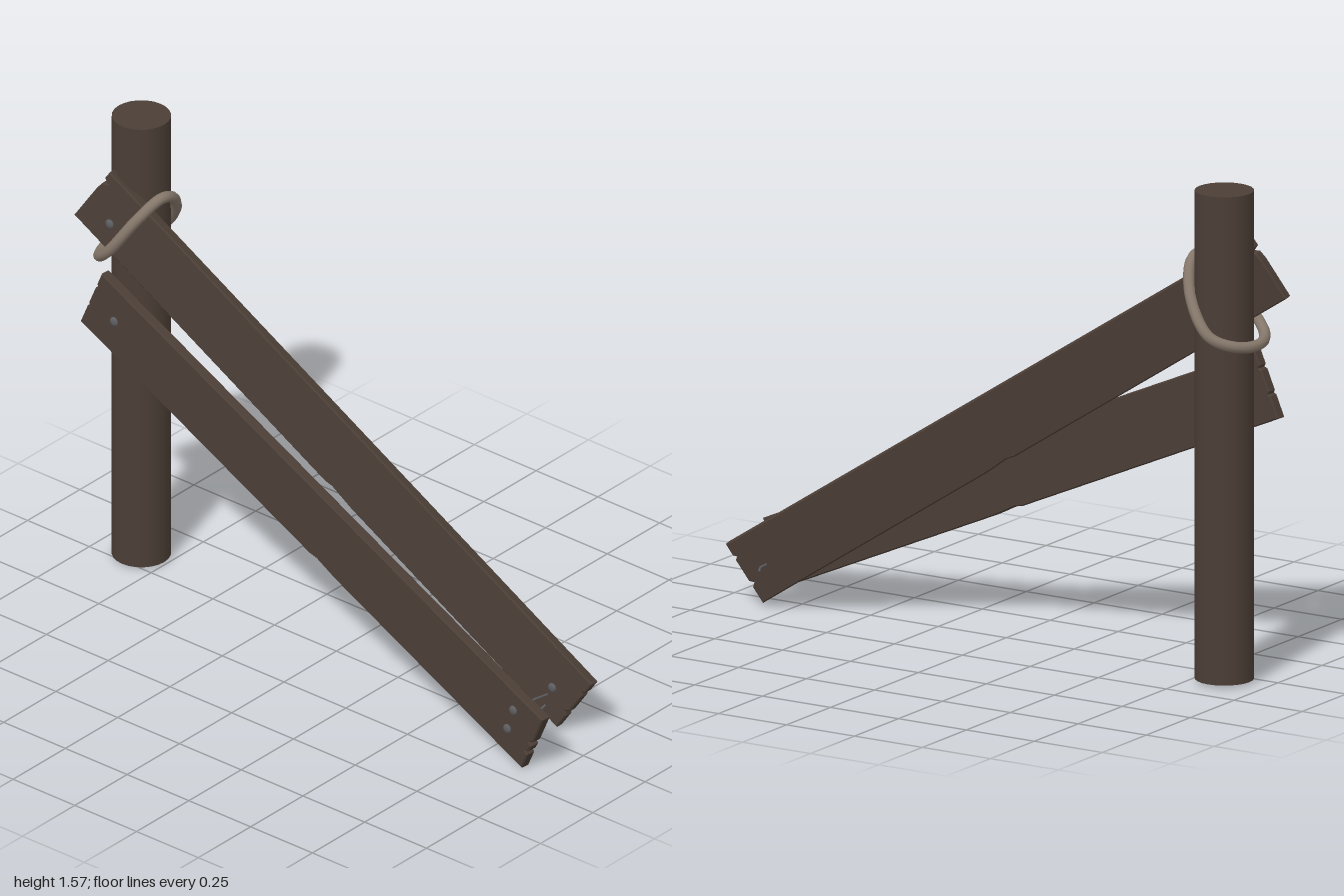
import * as THREE from 'three';

const V = (x, y, z) => new THREE.Vector3(x, y, z);

export function createModel() {
  const model = new THREE.Group();
  const mat = (name, color) => {
    const m = new THREE.MeshStandardMaterial({ color });
    m.name = name;
    return m;
  };
  const wood = mat('dark wood', 0x4b3e36);
  const ropeColor = mat('rope', 0x85776a);
  const iron = mat('iron', 0x5c5d60);

  const add = (name, geometry, material, parent = model) => {
    const mesh = new THREE.Mesh(geometry, material);
    mesh.name = name;
    parent.add(mesh);
    return mesh;
  };

  // Upright round post
  add('post', new THREE.CylinderGeometry(0.092, 0.092, 1.56, 24), wood).position.set(-0.845, 0.8, -0.066);

  // Board between two end centres, with splintered ends.
  // leftEnd and rightEnd list [height fraction, inset] down and up the ends.
  function plank(name, a, b, width, lean, leftEnd, rightEnd) {
    const along = b.clone().sub(a);
    const half = along.length() / 2, h = width / 2, bevel = 0.004;
    along.normalize();
    const up = V(-along.y, along.x, lean);
    up.addScaledVector(along, -up.dot(along)).normalize();
    const normal = along.clone().cross(up);
    const hx = half - bevel, hy = h - bevel;
    const outline = [
      [-hx, -hy], [0.04, -hy], [0.07, -hy + 0.006], [0.16, -hy],
      [hx, -hy], ...rightEnd.map(([f, d]) => [hx - d, f * hy]),
      [hx, hy], [-hx, hy], ...leftEnd.map(([f, d]) => [-hx + d, f * hy]),
    ].map(p => new THREE.Vector2(...p));
    const geo = new THREE.ExtrudeGeometry(new THREE.Shape(outline), {
      depth: 0.028, bevelEnabled: true, bevelSegments: 1, bevelSize: bevel, bevelThickness: bevel,
    });
    geo.translate(0, 0, -0.014);
    geo.applyMatrix4(new THREE.Matrix4().makeBasis(along, up, normal)
      .setPosition(a.clone().add(b).multiplyScalar(0.5)));
    add(name, geo, wood);
  }

  plank('upperPlank', V(-0.94, 1.32, 0.045), V(0.895, 0.115, -0.095), 0.216, -0.16,
    [[0.78, 0], [0.68, 0.022], [0.55, 0.004], [0.3, 0]],
    [[-0.5, 0], [-0.38, 0.015], [-0.25, 0], [0.45, 0], [0.55, 0.012], [0.65, 0]]);
  plank('lowerPlank', V(-0.94, 0.95, 0.045), V(0.95, 0.115, 0.168), 0.224, 0.02,
    [[0.6, 0], [0.52, 0.01], [0.42, 0], [-0.2, 0], [-0.28, 0.008], [-0.36, 0]],
    [[-0.5, 0], [-0.42, 0.018], [-0.3, 0.002], [-0.12, 0], [-0.05, 0.016], [0.1, 0]]);

  // Nails: domed head at the first point, bent shank along the rest
  function nail(name, ...pts) {
    const g = new THREE.Group();
    g.name = name;
    const head = add('nailHead', new THREE.SphereGeometry(0.016, 12, 8), iron, g);
    head.position.copy(pts[0]);
    head.scale.z = 0.5;
    const path = new THREE.CurvePath();
    for (let i = 1; i < pts.length; i++) path.add(new THREE.LineCurve3(pts[i - 1], pts[i]));
    add('nailShank', new THREE.TubeGeometry(path, 12, 0.004, 6), iron, g);
    model.add(g);
  }
  nail('upperPostNail', V(-0.865, 1.24, 0.062), V(-0.865, 1.24, -0.05));
  nail('lowerPostNail', V(-0.84, 0.905, 0.07), V(-0.84, 0.905, -0.05));
  nail('lowerEndNailA', V(0.87, 0.205, 0.181), V(0.87, 0.2, 0.08), V(0.875, 0.195, 0.025));
  nail('lowerEndNailB', V(0.845, 0.13, 0.18), V(0.85, 0.125, 0.06), V(0.868, 0.155, 0.025));
  nail('upperEndNail', V(0.815, 0.155, -0.07), V(0.815, 0.15, -0.14), V(0.8, 0.145, -0.17));

  // Slanted rope loop around the post and upper plank
  const loop = new THREE.CatmullRomCurve3([
    V(-0.722, 1.35, -0.01), V(-0.76, 1.29, 0.055), V(-0.84, 1.17, 0.09),
    V(-0.91, 1.11, 0.06), V(-0.952, 1.095, -0.03), V(-0.93, 1.1, -0.12),
    V(-0.86, 1.135, -0.175), V(-0.77, 1.24, -0.14), V(-0.722, 1.335, -0.065),
  ], true);
  add('ropeLoop', new THREE.TubeGeometry(loop, 72, 0.018, 10, true), ropeColor);

  return model;
}
